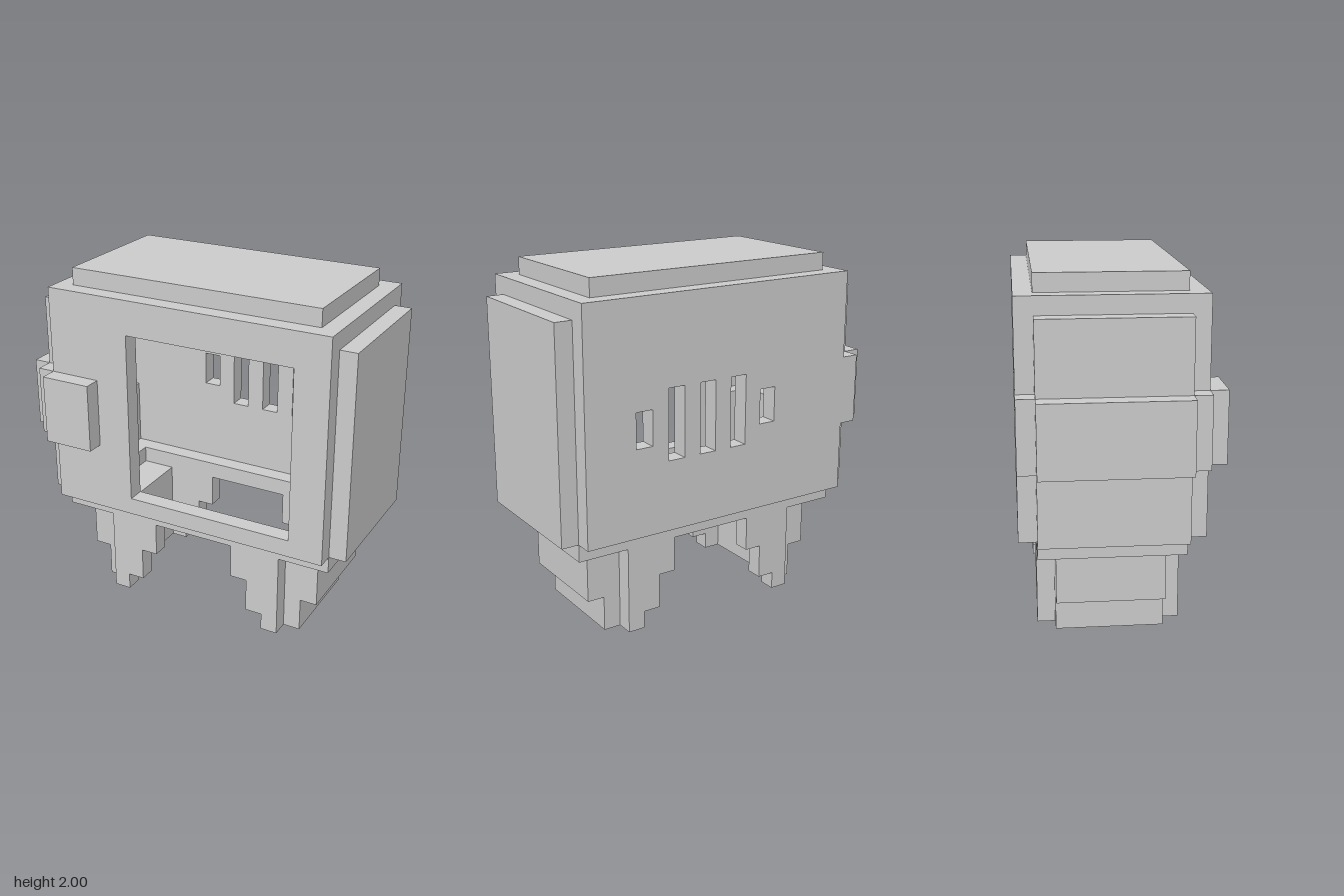
import * as THREE from 'three';

const material = new THREE.MeshStandardMaterial({ color: 0xcccccc, flatShading: true });

function add(parent, name, geometry) {
  const mesh = new THREE.Mesh(geometry, material);
  mesh.name = name;
  parent.add(mesh);
  return mesh;
}

// Box given by its lower and upper corner
function box(parent, name, [x0, y0, z0], [x1, y1, z1]) {
  const g = new THREE.BoxGeometry(x1 - x0, y1 - y0, z1 - z0);
  g.translate((x0 + x1) / 2, (y0 + y1) / 2, (z0 + z1) / 2);
  return add(parent, name, g);
}

const points = (list) => list.map(([x, y]) => new THREE.Vector2(x, y));
const rect = (x0, y0, x1, y1) => points([[x0, y0], [x1, y0], [x1, y1], [x0, y1]]);

// Flat plate with rectangular holes, running from z0 to z1
function plate(outline, holes, z0, z1) {
  const shape = new THREE.Shape(outline);
  for (const h of holes) shape.holes.push(new THREE.Path(rect(...h)));
  return new THREE.ExtrudeGeometry(shape, { depth: z1 - z0, bevelEnabled: false }).translate(0, 0, z0);
}

export function createModel() {
  const model = new THREE.Group();
  model.name = 'cabinet';

  // Front wall with a large window and a notch behind the latch
  const frontOutline = points([[-0.8, 0.6], [0.9, 0.6], [0.9, 1.9], [-0.8, 1.9],
    [-0.8, 1.4], [-0.5, 1.4], [-0.5, 1.0], [-0.8, 1.0]]);
  add(model, 'frontWall', plate(frontOutline, [[-0.3, 0.7, 0.7, 1.7]], 0.35, 0.45));

  // Back wall with five vent slots, the outer two shorter
  const slots = [];
  for (let i = 0; i < 5; i++) {
    const x = -0.3 + i * 0.2, inset = i % 4 === 0 ? 0.1 : 0;
    slots.push([x, 1 + inset, x + 0.1, 1.4 - inset]);
  }
  add(model, 'backWall', plate(rect(-0.8, 0.6, 0.9, 1.9), slots, -0.55, -0.45));

  // Side walls; the right one is split by the latch band
  box(model, 'leftWall', [0.9, 0.6, -0.45], [1, 1.8, 0.35]);
  box(model, 'rightWallLower', [-0.9, 0.6, -0.45], [-0.8, 1, 0.35]);
  box(model, 'rightWallUpper', [-0.9, 1.4, -0.45], [-0.8, 1.8, 0.35]);

  // Latch band stepping around the right side
  const latch = new THREE.Group();
  latch.name = 'latch';
  model.add(latch);
  box(latch, 'latchSide', [-1, 1, -0.45], [-0.9, 1.4, 0.35]);
  box(latch, 'latchFront', [-0.8, 1, 0.45], [-0.5, 1.4, 0.55]);
  box(latch, 'latchFrontCorner', [-0.9, 1, 0.35], [-0.8, 1.4, 0.45]);
  box(latch, 'latchBackCorner', [-0.9, 1, -0.55], [-0.8, 1.4, -0.45]);

  // Roof and the rails below its ends
  box(model, 'roof', [-0.7, 1.9, -0.45], [0.8, 2, 0.35]);
  box(model, 'leftRoofRail', [0.8, 1.8, -0.45], [0.9, 1.9, 0.35]);
  box(model, 'rightRoofRail', [-0.8, 1.8, -0.45], [-0.7, 1.9, 0.35]);

  // Open floor frame
  const floor = plate(rect(-0.8, -0.35, 0.9, 0.45), [[-0.7, -0.25, 0.8, 0.35]], 0.5, 0.6);
  add(model, 'floorFrame', floor.rotateX(-Math.PI / 2));

  // Stepped legs, mirrored about the middle of the body
  const gusset = [[0.55, 0], [0.55, 0.5], [0.25, 0.5], [0.25, 0.3], [0.35, 0.3],
    [0.35, 0.1], [0.45, 0.1], [0.45, 0]];
  const slab = [[0.55, 0], [0.65, 0], [0.65, 0.2], [0.75, 0.2], [0.75, 0.5], [0.55, 0.5]];
  for (const side of [1, -1]) {
    const leg = new THREE.Group();
    leg.name = side > 0 ? 'leftLeg' : 'rightLeg';
    model.add(leg);
    const mirrored = (list) => points(list.map(([x, y]) => [0.05 + side * x, y]));
    add(leg, 'legSlab', plate(mirrored(slab), [], -0.35, 0.25));
    add(leg, 'legFrontPlate', plate(mirrored(gusset), [], 0.25, 0.35));
    add(leg, 'legBackPlate', plate(mirrored(gusset), [], -0.45, -0.35));
  }

  return model;
}
